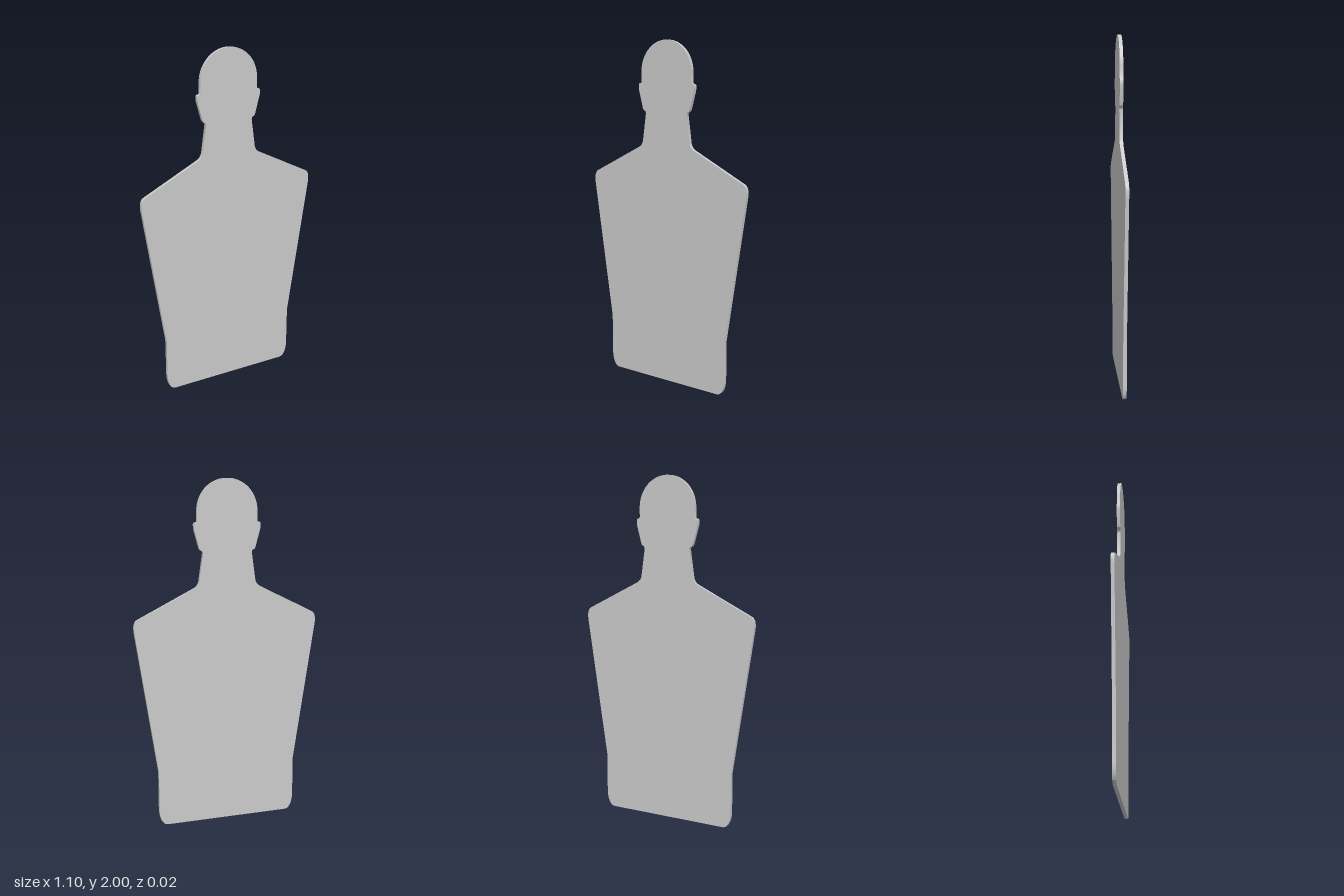
import * as THREE from 'three';
import { toCreasedNormals } from 'three/addons/utils/BufferGeometryUtils.js';

const THICKNESS = 0.02;

// One half of the outline, from the middle of the base up to the crown.
function halfOutline() {
  const p = new THREE.Path();
  p.moveTo(0, 0);
  // base corner and waist
  p.lineTo(0.37, 0);
  p.bezierCurveTo(0.4, 0, 0.42, 0.04, 0.42, 0.1);
  p.lineTo(0.42, 0.325);
  // flank and rounded shoulder
  p.lineTo(0.547, 1.155);
  p.quadraticCurveTo(0.554, 1.213, 0.525, 1.227);
  p.lineTo(0.2, 1.388);
  // neck
  p.quadraticCurveTo(0.172, 1.402, 0.168, 1.43);
  p.lineTo(0.146, 1.585);
  // ear
  p.quadraticCurveTo(0.147, 1.6, 0.158, 1.602);
  p.quadraticCurveTo(0.166, 1.605, 0.17, 1.622);
  p.lineTo(0.197, 1.72);
  p.lineTo(0.198, 1.745);
  p.quadraticCurveTo(0.197, 1.757, 0.187, 1.757);
  p.quadraticCurveTo(0.178, 1.758, 0.178, 1.768);
  // skull
  p.lineTo(0.178, 1.82);
  p.absellipse(0, 1.82, 0.178, 0.18, 0, Math.PI / 2, false);
  return p.getPoints(16);
}

export function createModel() {
  const group = new THREE.Group();
  group.name = 'silhouetteTarget';

  // Mirror the half outline, leaving out the two points on the centre line
  const half = halfOutline();
  const mirrored = half.slice(1, -1).reverse().map((v) => new THREE.Vector2(-v.x, v.y));
  const shape = new THREE.Shape([...half, ...mirrored]);

  // Thin flat board with smooth rounded edges
  const board = new THREE.ExtrudeGeometry(shape, { depth: THICKNESS, bevelEnabled: false });
  board.translate(0, 0, -THICKNESS / 2);

  const mesh = new THREE.Mesh(
    toCreasedNormals(board, Math.PI / 6),
    new THREE.MeshStandardMaterial({ color: 0xcccccc })
  );
  mesh.name = 'silhouetteBoard';
  group.add(mesh);
  return group;
}
